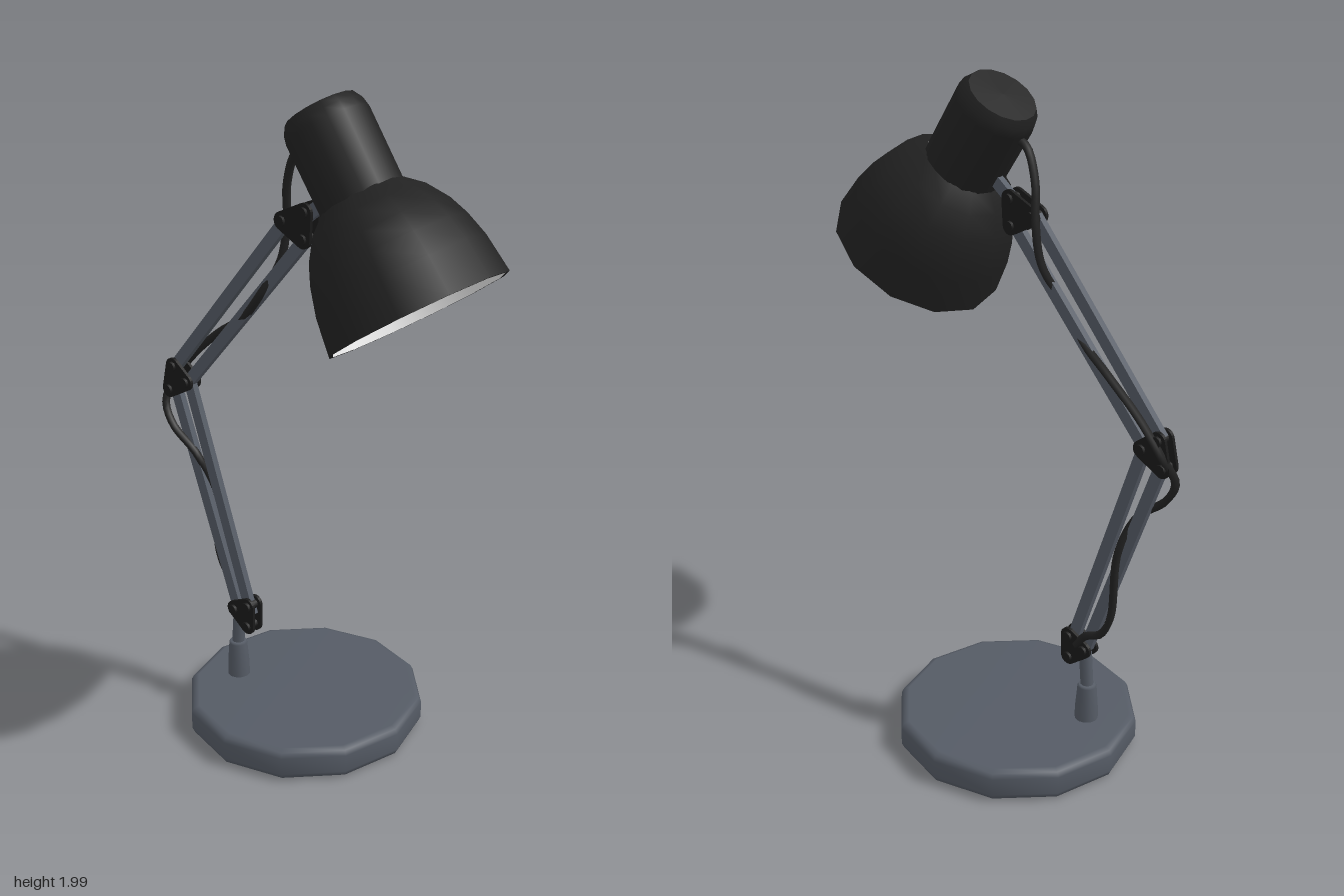
import * as THREE from 'three';

const Z = 0.08; // plane of the arm

export function createModel() {
  const lamp = new THREE.Group();
  lamp.name = 'deskLamp';

  const mat = (name, color, side = THREE.FrontSide) => {
    const m = new THREE.MeshStandardMaterial({ color, side });
    m.name = name;
    return m;
  };
  const grey = mat('slateGrey', 0x555b65);
  const black = mat('black', 0x222222);
  const jointBlack = mat('jointBlack', 0x1a1a1a);
  const white = mat('innerWhite', 0xe8e8e8);
  const bulbWhite = mat('bulbWhite', 0xfaf8f2);

  const add = (parent, name, geometry, material, x = 0, y = 0, z = 0) => {
    const mesh = new THREE.Mesh(geometry, material);
    mesh.name = name;
    mesh.position.set(x, y, z);
    parent.add(mesh);
    return mesh;
  };
  const lathe = (pts, sides = 12) =>
    new THREE.LatheGeometry(pts.map(([r, y]) => new THREE.Vector2(r, y)), sides);

  // Weighted base with bevelled edges
  add(lamp, 'base', lathe([
    [0, 0], [0.345, 0], [0.362, 0.008], [0.37, 0.025],
    [0.37, 0.08], [0.362, 0.095], [0.345, 0.102], [0, 0.102],
  ]), grey, -0.095, 0, 0);

  // Post socket
  add(lamp, 'socket', lathe([
    [0.036, 0.09], [0.035, 0.14], [0.029, 0.215], [0.025, 0.222], [0, 0.222],
  ]), grey, -0.305, 0, Z);

  // Straight member between two points of the arm plane
  const link = (name, [ax, ay], [bx, by], makeGeometry) => {
    const m = add(lamp, name, makeGeometry(Math.hypot(bx - ax, by - ay)), grey,
      (ax + bx) / 2, (ay + by) / 2, Z);
    m.rotation.z = Math.atan2(by - ay, bx - ax) - Math.PI / 2;
  };
  const rod = (l) => new THREE.CylinderGeometry(0.02, 0.02, l, 10);
  const bar = (l) => new THREE.BoxGeometry(0.036, l, 0.02);

  link('post', [-0.306, 0.2], [-0.292, 0.36], rod);
  link('lowerArmBack', [-0.3, 0.35], [-0.535, 1.02], bar);
  link('lowerArmFront', [-0.243, 0.34], [-0.477, 1.06], bar);
  link('upperArmBack', [-0.53, 1.1], [-0.08, 1.625], bar);
  link('upperArmFront', [-0.477, 1.06], [-0.005, 1.59], bar);
  link('headBracket', [-0.01, 1.645], [0.14, 1.76], bar);

  // Joint: two rounded triangular plates held by three bolts
  const joint = (name, corners, r = 0.026) => {
    const group = new THREE.Group();
    group.name = name;
    lamp.add(group);
    const edgeNormal = (a, b) => Math.atan2(b[1] - a[1], b[0] - a[0]) - Math.PI / 2;
    const shape = new THREE.Shape();
    corners.forEach((c, i) => {
      const prev = corners[(i + 2) % 3], next = corners[(i + 1) % 3];
      shape.absarc(c[0], c[1], r, edgeNormal(prev, c), edgeNormal(c, next), false);
    });
    const plate = new THREE.ExtrudeGeometry(shape, { depth: 0.01, bevelEnabled: false, curveSegments: 4 });
    for (const s of [-1, 1]) add(group, 'jointPlate', plate, jointBlack, 0, 0, Z + s * 0.017 - 0.005);
    for (const [x, y] of corners) {
      add(group, 'bolt', new THREE.CylinderGeometry(0.016, 0.016, 0.062, 8), jointBlack, x, y, Z)
        .rotation.x = Math.PI / 2;
    }
  };
  // Corners run counter-clockwise
  joint('lowerJoint', [[-0.3, 0.345], [-0.245, 0.302], [-0.243, 0.372]]);
  joint('elbowJoint', [[-0.548, 1.022], [-0.478, 1.06], [-0.53, 1.1]]);
  joint('upperJoint', [[-0.08, 1.627], [-0.005, 1.588], [0, 1.663]]);

  // Cable winding loosely along the arm
  const cable = new THREE.CatmullRomCurve3([
    [0.0, 1.83, 0.08], [-0.045, 1.81, 0.08], [-0.085, 1.72, 0.07], [-0.1, 1.62, 0.055],
    [-0.12, 1.5, 0.06], [-0.175, 1.39, 0.095], [-0.25, 1.31, 0.08], [-0.36, 1.24, 0.06],
    [-0.47, 1.15, 0.055], [-0.55, 1.06, 0.055], [-0.575, 0.98, 0.09], [-0.54, 0.91, 0.1],
    [-0.45, 0.83, 0.09], [-0.415, 0.72, 0.06], [-0.4, 0.5, 0.056], [-0.365, 0.43, 0.056],
    [-0.31, 0.4, 0.058], [-0.27, 0.35, 0.065],
  ].map((p) => new THREE.Vector3(...p)));
  add(lamp, 'cable', new THREE.TubeGeometry(cable, 90, 0.012, 6), black);

  // Tilted head; its local origin is the centre of the rim
  const head = new THREE.Group();
  head.name = 'head';
  head.position.set(0.368, 1.45, Z - 0.002);
  head.rotation.z = 0.594;
  lamp.add(head);

  add(head, 'shade', lathe([
    [0.261, 0], [0.247, 0.11], [0.228, 0.18], [0.205, 0.235], [0.165, 0.295], [0.118, 0.337],
  ]), black);
  add(head, 'rim', lathe([[0.25, 0], [0.261, 0]]), black);
  add(head, 'shadeLining', lathe([
    [0, 0.325], [0.112, 0.325], [0.155, 0.285], [0.194, 0.23], [0.217, 0.178], [0.236, 0.11], [0.25, 0],
  ]), white);
  add(head, 'neck', lathe([[0.118, 0.33], [0.119, 0.54], [0.114, 0.565], [0.1, 0.588]], 16), black);
  add(head, 'neckCap', lathe([[0.1, 0.588], [0, 0.59]], 16), black);

  // Bulb
  add(head, 'bulb', lathe([
    [0, 0.15], [0.025, 0.156], [0.043, 0.175], [0.048, 0.2],
    [0.042, 0.225], [0.028, 0.255], [0.024, 0.326],
  ], 14), bulbWhite);

  return lamp;
}
